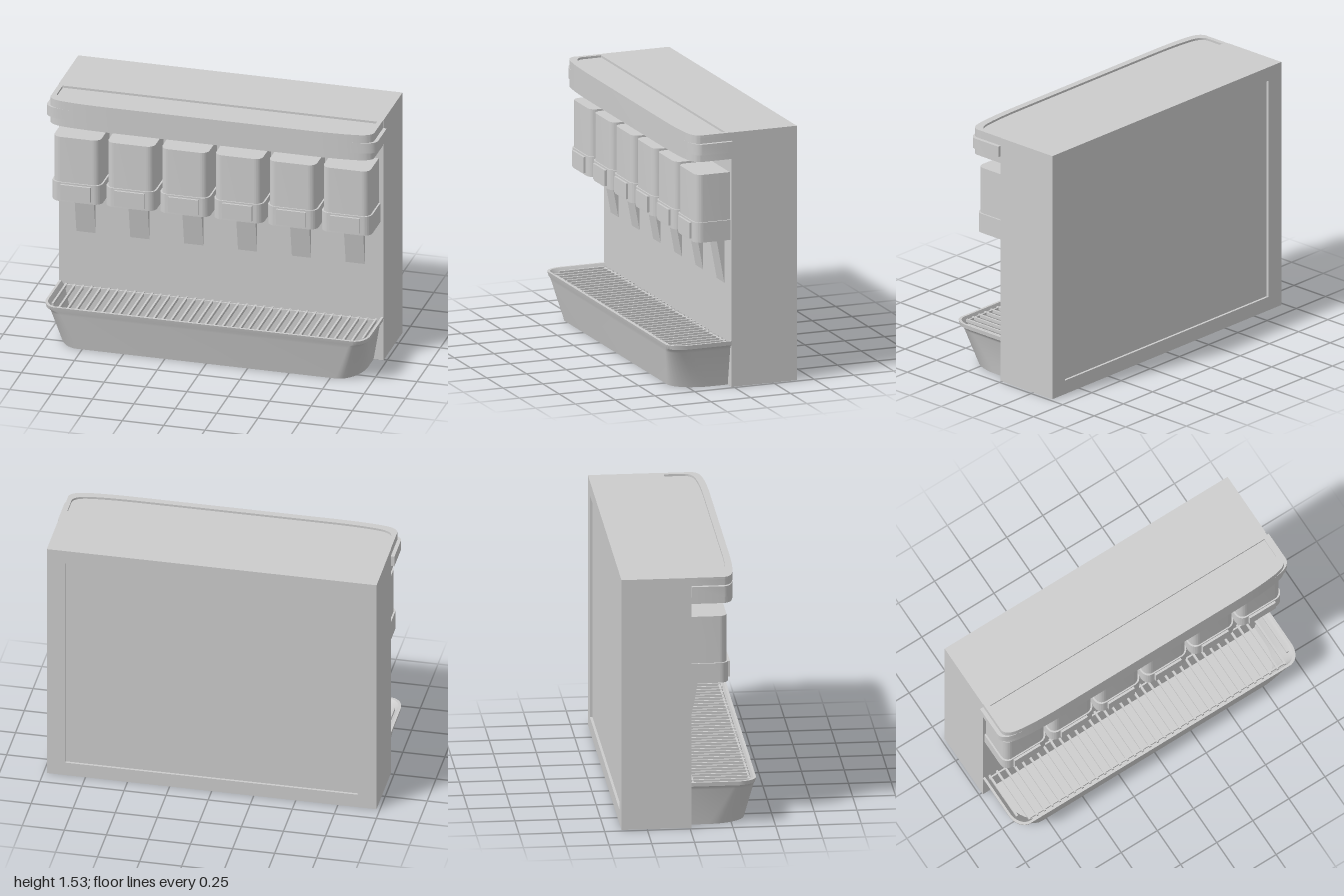
import * as THREE from 'three';
import { toCreasedNormals } from 'three/addons/utils/BufferGeometryUtils.js';

const BACK = 0.01; // z of the cabinet's front face

export function createModel() {
  const grey = new THREE.MeshStandardMaterial({ color: 0xcccccc });
  grey.name = 'light grey';
  const root = new THREE.Group();
  root.name = 'drinkDispenser';

  const add = (parent, name, geometry) => {
    const mesh = new THREE.Mesh(geometry, grey);
    mesh.name = name;
    parent.add(mesh);
    return mesh;
  };
  const box = (parent, name, x0, x1, y0, y1, z0, z1) =>
    add(parent, name, new THREE.BoxGeometry(x1 - x0, y1 - y0, z1 - z0)
      .translate((x0 + x1) / 2, (y0 + y1) / 2, (z0 + z1) / 2));

  // Horizontal slab from a plan drawn in x and z
  const slab = (parent, name, plan, y0, y1) => {
    const g = new THREE.ExtrudeGeometry(plan, { depth: y1 - y0, bevelEnabled: false, curveSegments: 10 });
    g.rotateX(Math.PI / 2).translate(0, y1, 0);
    return add(parent, name, toCreasedNormals(g, 0.6));
  };

  // Plan with a straight back and rounded front corners
  const roundedPlan = (w, z0, z1, r) => {
    const s = new THREE.Shape();
    s.moveTo(-w, z0);
    s.lineTo(w, z0);
    s.lineTo(w, z1 - r);
    s.absarc(w - r, z1 - r, r, 0, Math.PI / 2, false);
    s.lineTo(-w + r, z1);
    s.absarc(-w + r, z1 - r, r, Math.PI / 2, Math.PI, false);
    s.closePath();
    return s;
  };

  // Plan with a gently bowed front
  const bowedPlan = (w, z0, z1) => {
    const s = new THREE.Shape();
    s.moveTo(-w, z0);
    s.lineTo(w, z0);
    s.lineTo(w, z1 - 0.07);
    s.quadraticCurveTo(w - 0.01, z1 - 0.025, w - 0.09, z1 - 0.015);
    s.quadraticCurveTo(w - 0.2, z1, w - 0.4, z1);
    s.lineTo(-w + 0.4, z1);
    s.quadraticCurveTo(-w + 0.2, z1, -w + 0.09, z1 - 0.015);
    s.quadraticCurveTo(-w + 0.01, z1 - 0.025, -w, z1 - 0.07);
    s.closePath();
    return s;
  };

  // Cabinet with a framed, recessed back panel
  box(root, 'cabinet', -0.98, 0.98, 0, 1.53, -0.385, BACK);
  const frame = new THREE.Shape();
  frame.moveTo(-0.98, 0).lineTo(0.98, 0).lineTo(0.98, 1.53).lineTo(-0.98, 1.53).closePath();
  const opening = new THREE.Path();
  opening.moveTo(-0.87, 0.085).lineTo(-0.87, 1.445).lineTo(0.87, 1.445).lineTo(0.87, 0.085).closePath();
  frame.holes.push(opening);
  add(root, 'backFrame', new THREE.ExtrudeGeometry(frame, { depth: 0.015, bevelEnabled: false })
    .translate(0, 0, -0.4));

  // Canopy with a shallow recess on top and a band around its ends
  const canopy = new THREE.Group();
  canopy.name = 'canopy';
  root.add(canopy);
  slab(canopy, 'canopyBody', bowedPlan(0.978, BACK, 0.272), 1.37, 1.517);
  const rim = bowedPlan(0.978, BACK, 0.272);
  rim.holes.push(new THREE.Path(bowedPlan(0.95, 0.04, 0.232).getPoints(10)));
  slab(canopy, 'canopyRim', rim, 1.517, 1.53);
  slab(canopy, 'canopyBand', bowedPlan(1.0, BACK, 0.27), 1.415, 1.48);

  // Row of six dispensers
  for (let i = 0; i < 6; i++) {
    const valve = new THREE.Group();
    valve.name = 'dispenser' + (i + 1);
    valve.position.x = (i - 2.5) * 0.3255 - 0.004;
    root.add(valve);
    slab(valve, 'dispenserHead', roundedPlan(0.142, BACK, 0.22, 0.045), 1.0, 1.285);
    slab(valve, 'dispenserCollar', roundedPlan(0.152, BACK, 0.228, 0.05), 0.88, 1.0);
    box(valve, 'pushPlate', -0.09, 0.09, 0.895, 0.99, 0.22, 0.242);
    const side = new THREE.Shape();
    side.moveTo(BACK, 0.6).lineTo(0.062, 0.88).lineTo(BACK, 0.88).closePath();
    add(valve, 'spout', new THREE.ExtrudeGeometry(side, { depth: 0.116, bevelEnabled: false })
      .rotateY(-Math.PI / 2).translate(0.058, 0, 0));
  }

  // Drip tray: sections of [y, half width, front z, corner width, corner depth]
  const sections = [
    [0, 0.92, BACK, 0.14, 0],
    [0, 0.92, 0.335, 0.14, 0.22],
    [0.225, 0.958, 0.383, 0.09, 0.13],
    [0.24, 0.964, 0.386, 0.085, 0.12],
    [0.25, 0.977, 0.389, 0.08, 0.11],
    [0.275, 0.98, 0.395, 0.08, 0.11],
    [0.275, 0.966, 0.38, 0.075, 0.1],
    [0.24, 0.945, 0.37, 0.08, 0.11],
    [0.03, 0.9, 0.325, 0.14, 0.2],
    [0.03, 0.9, BACK, 0.14, 0],
  ];
  const rings = sections.map(([y, w, zf, rx, rz]) => {
    const half = [[w, BACK]];
    for (let k = 0; k <= 10; k++) {
      const a = (k / 10) * Math.PI / 2;
      half.push([w - rx + rx * Math.cos(a), zf - rz + rz * Math.sin(a)]);
    }
    const all = half.concat(half.slice().reverse().map(([x, z]) => [-x, z]));
    return all.map(([x, z]) => [x, y, z]);
  });
  const n = rings[0].length;
  const index = [];
  for (let i = 0; i < rings.length - 1; i++) {
    for (let j = 0; j < n - 1; j++) {
      const a = i * n + j, b = a + 1, d = a + n, c = d + 1;
      index.push(a, d, c, a, c, b);
    }
  }
  const trayGeometry = new THREE.BufferGeometry();
  trayGeometry.setAttribute('position', new THREE.Float32BufferAttribute(rings.flat(2), 3));
  trayGeometry.setIndex(index);
  add(root, 'dripTray', toCreasedNormals(trayGeometry.toNonIndexed(), 0.6));

  // Grille bars, shortened to follow the tray's corners
  const grille = new THREE.Group();
  grille.name = 'grille';
  root.add(grille);
  for (let i = 0; i < 37; i++) {
    const x = (i - 18) * 0.052;
    const t = Math.min(1, Math.max(0, (Math.abs(x) - 0.865) / 0.08));
    const end = 0.26 + 0.11 * Math.sqrt(1 - t * t);
    box(grille, 'grilleBar', x - 0.006, x + 0.006, 0.244, 0.262, BACK, end);
  }
  box(grille, 'frontRail', -0.885, 0.885, 0.246, 0.26, 0.352, 0.362);
  box(grille, 'rearRail', -0.945, 0.945, 0.246, 0.26, 0.02, 0.03);

  return root;
}
